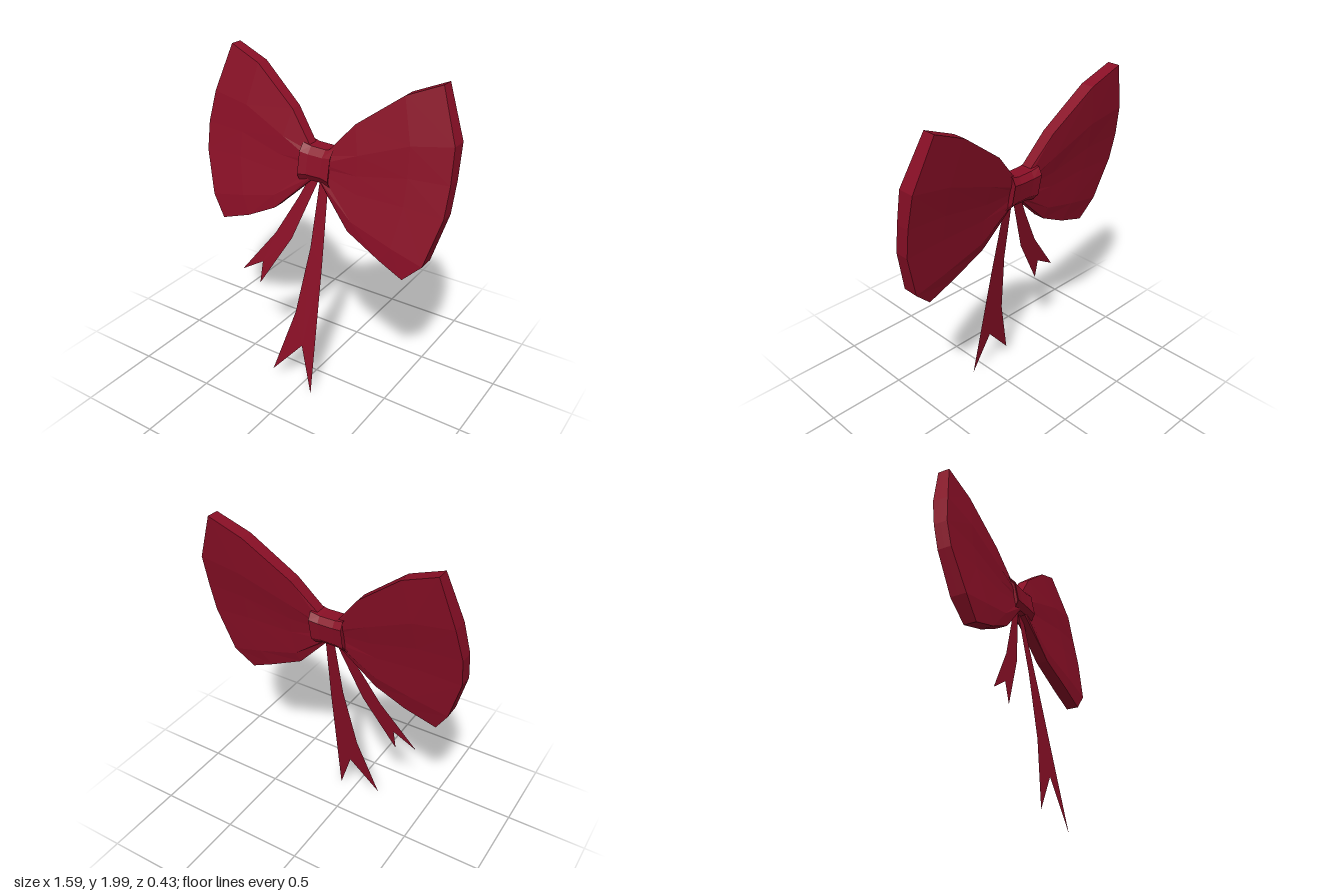
import * as THREE from 'three';

// The whole bow leans back: depth of its middle plane at a given height
const lean = (y) => 0.22 - 0.19 * y;

// Faceted closed skin over a list of rings of [x, y, z] points
function skin(rings) {
  const tris = [];
  let volume = 0;
  const v = (p) => new THREE.Vector3(...p);
  const add = (a, b, c) => {
    const [A, B, C] = [v(a), v(b), v(c)];
    const area = B.clone().sub(A).cross(C.clone().sub(A)).length();
    if (area < 1e-7) return;
    volume += A.dot(B.clone().cross(C));
    tris.push([a, b, c]);
  };
  for (let i = 0; i < rings.length - 1; i++) {
    const r = rings[i], s = rings[i + 1], n = r.length;
    for (let j = 0; j < n; j++) {
      const k = (j + 1) % n;
      add(r[j], r[k], s[k]);
      add(r[j], s[k], s[j]);
    }
  }
  // Turn the faces outward
  if (volume < 0) tris.forEach((t) => t.reverse());
  const geo = new THREE.BufferGeometry();
  geo.setAttribute('position', new THREE.Float32BufferAttribute(tris.flat(2), 3));
  geo.computeVertexNormals();
  return geo;
}

// Padded loop: columns from knot to rim, rows following the curved rim
function loopGeometry(top, bottom, rim, zShift) {
  const last = top.length - 1;
  const [x0, y0] = rim[0], [x1, y1] = rim[rim.length - 1];
  const rows = rim.map(([x, y]) => {
    const f = (y0 - y) / (y0 - y1);
    return { f, bulge: x - (x0 + (x1 - x0) * f) };
  });
  const half = [0.04, 0.052, 0.045, 0.045, 0.052, 0.04];
  const ring = (i, thick) => {
    const [a, b] = [top[i], bottom[i]];
    const side = (sign) => rows.map(({ f, bulge }, r) => {
      const x = a[0] + (b[0] - a[0]) * f + bulge * (i / last) ** 1.3;
      const y = a[1] + (b[1] - a[1]) * f;
      return [x, y, lean(y) + zShift * i / last + sign * thick * half[r]];
    });
    return [...side(1), ...side(-1).reverse()];
  };
  return skin([ring(0, 0), ring(0, 0.8), ring(1, 0.9), ring(2, 1), ring(last, 0.95), ring(last, 0)]);
}

// Knot: rounded band, pinched in the middle, with sunken ends
function knotGeometry() {
  const section = [[-1, 0.6], [-0.6, 1], [0.6, 1], [1, 0.6], [1, -0.6], [0.6, -1], [-0.6, -1], [-1, -0.6]];
  const ring = (x, h, d) => section.map(([a, b]) => {
    const y = 1.435 + a * h;
    return [x, y, lean(y) - 0.008 + b * d];
  });
  return skin([
    ring(-0.095, 0, 0), ring(-0.1, 0.1, 0.065), ring(-0.115, 0.108, 0.078), ring(-0.06, 0.096, 0.074),
    ring(0.035, 0.094, 0.074), ring(0.09, 0.108, 0.078), ring(0.075, 0.1, 0.065), ring(0.07, 0, 0),
  ]);
}

// Flat swallow-tailed ribbon lying in the leaning plane
function tailGeometry(points) {
  const geo = new THREE.ShapeGeometry(new THREE.Shape(points.map((p) => new THREE.Vector2(...p))));
  const pos = geo.attributes.position;
  for (let i = 0; i < pos.count; i++) pos.setZ(i, lean(pos.getY(i)));
  geo.computeVertexNormals();
  return geo;
}

export function createModel() {
  const group = new THREE.Group();
  const red = new THREE.MeshStandardMaterial({ color: 0x8a0f26 });
  red.name = 'crimson satin';
  red.side = THREE.DoubleSide;
  const add = (name, geo) => {
    const mesh = new THREE.Mesh(geo, red);
    mesh.name = name;
    group.add(mesh);
  };

  add('rightLoop', loopGeometry(
    [[-0.04, 1.49], [-0.21, 1.71], [-0.47, 1.92], [-0.67, 2.0]],
    [[-0.04, 1.34], [-0.27, 1.12], [-0.45, 1.03], [-0.64, 0.965]],
    [[-0.67, 2.0], [-0.76, 1.72], [-0.797, 1.53], [-0.795, 1.36], [-0.72, 1.1], [-0.64, 0.965]], 0));
  add('leftLoop', loopGeometry(
    [[0.02, 1.49], [0.2, 1.7], [0.47, 1.9], [0.67, 1.985]],
    [[0.02, 1.34], [0.23, 1.11], [0.45, 1.0], [0.6, 0.93]],
    [[0.67, 1.985], [0.785, 1.7], [0.792, 1.5], [0.785, 1.32], [0.71, 1.04], [0.6, 0.93]], -0.015));

  add('knot', knotGeometry());

  add('longTail', tailGeometry([
    [0, 1.36], [-0.015, 0.93], [-0.07, 0.5], [-0.19, 0.075], [0, 0.3], [0.1, 0.01], [0.077, 0.85], [0.055, 1.36]]));
  add('shortTail', tailGeometry([
    [-0.06, 1.36], [-0.13, 1.21], [-0.27, 0.95], [-0.49, 0.655], [-0.345, 0.745], [-0.35, 0.605], [-0.15, 0.95], [0, 1.36]]));
  return group;
}
